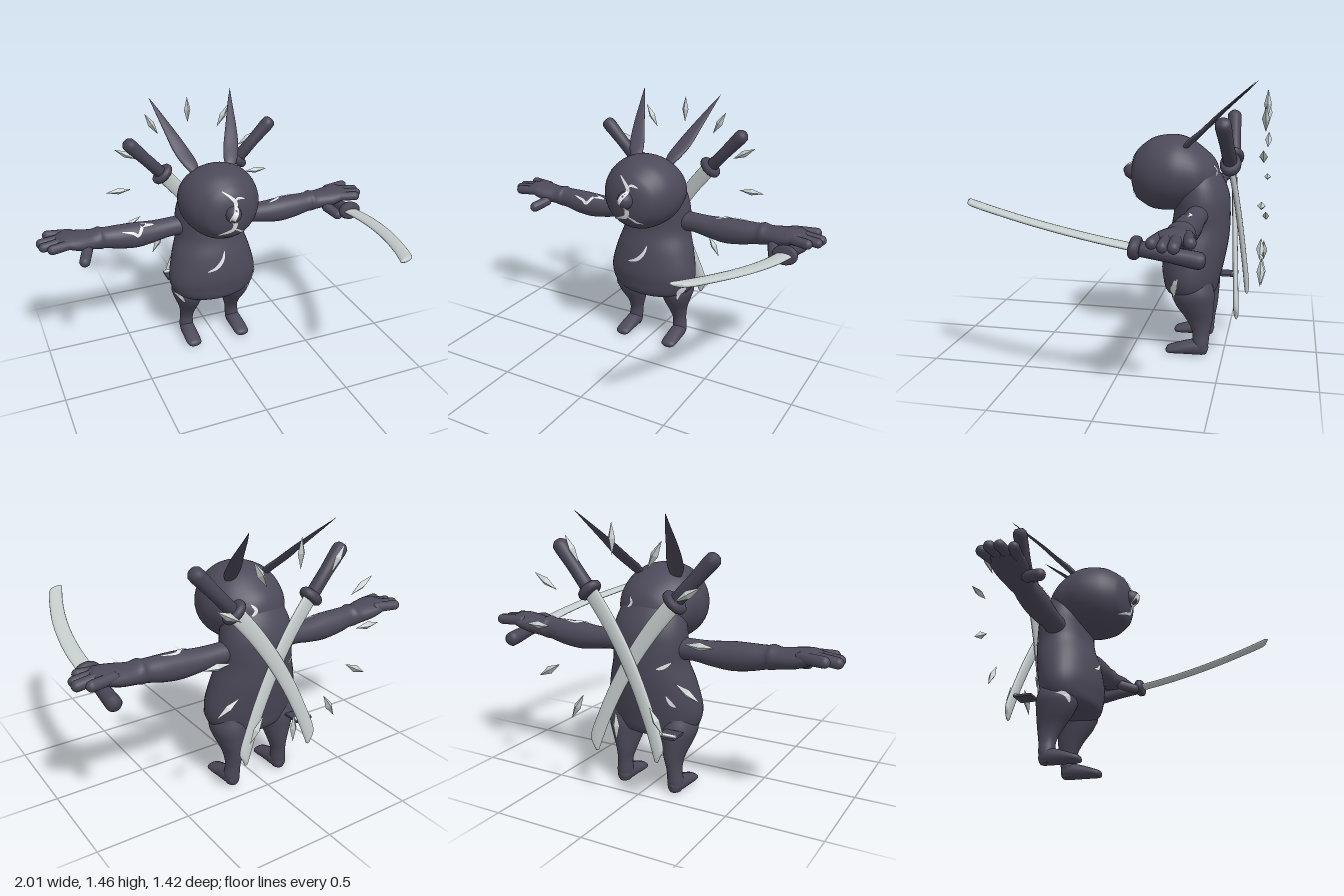
import * as THREE from 'three';

const mat = (name, color, side = THREE.FrontSide) => {
  const m = new THREE.MeshStandardMaterial({ color, side });
  m.name = name;
  return m;
};

// Smooth tube of ellipses along an axis; rows are [t, c1, c2, r1, r2]
function loft(rows, axis, seg = 32, steps = 5) {
  const vec = (a, b, c) => new THREE.Vector3(a, b, c);
  const centre = new THREE.CatmullRomCurve3(rows.map(r => vec(r[0], r[1], r[2])), false, 'catmullrom', 0.5);
  const radius = new THREE.CatmullRomCurve3(rows.map(r => vec(r[3], r[4], 0)), false, 'catmullrom', 0.5);
  const n = (rows.length - 1) * steps, pos = [], idx = [];
  const flip = (axis === 'y') !== (rows[rows.length - 1][0] < rows[0][0]);
  for (let i = 0; i <= n; i++) {
    const c = centre.getPoint(i / n), r = radius.getPoint(i / n);
    for (let j = 0; j < seg; j++) {
      const a = j / seg * Math.PI * 2;
      const u = c.y + Math.max(r.x, 0) * Math.cos(a), v = c.z + Math.max(r.y, 0) * Math.sin(a);
      if (axis === 'x') pos.push(c.x, u, v);
      else if (axis === 'y') pos.push(u, c.x, v);
      else pos.push(u, v, c.x);
      if (i === n) continue;
      const k = (j + 1) % seg, p = i * seg + j, q = i * seg + k, s = p + seg, t = q + seg;
      if (flip) idx.push(p, s, q, q, s, t);
      else idx.push(p, q, s, q, t, s);
    }
  }
  const g = new THREE.BufferGeometry();
  g.setAttribute('position', new THREE.Float32BufferAttribute(pos, 3));
  g.setIndex(idx);
  g.computeVertexNormals();
  return g;
}

// Mirror a geometry across x = 0, keeping faces outward
function mirrored(geo) {
  const g = geo.clone().scale(-1, 1, 1), ix = g.index.array;
  for (let i = 0; i < ix.length; i += 3) [ix[i + 1], ix[i + 2]] = [ix[i + 2], ix[i + 1]];
  g.computeVertexNormals();
  return g;
}

// Rounded finger between two points
function finger(a, b, r) {
  const A = new THREE.Vector3(...a), B = new THREE.Vector3(...b), d = B.clone().sub(A);
  const g = new THREE.CapsuleGeometry(r, d.length() - r, 6, 14);
  g.applyQuaternion(new THREE.Quaternion().setFromUnitVectors(new THREE.Vector3(0, 1, 0), d.clone().normalize()));
  const m = A.add(B).multiplyScalar(0.5);
  return g.translate(m.x, m.y, m.z);
}

export function createModel() {
  const model = new THREE.Group();
  const fur = mat('darkFur', 0x4c4959), grip = mat('darkGrip', 0x474454);
  const steel = mat('paleSteel', 0xc6cecd), glow = mat('paleCrack', 0xdfe4e6, THREE.DoubleSide);
  const skin = [];
  const add = (name, geo, material, parent = model) => {
    const m = new THREE.Mesh(geo, material);
    m.name = name;
    parent.add(m);
    return m;
  };
  const pair = (name, geo) => {
    skin.push(add(name + 'Left', geo, fur), add(name + 'Right', mirrored(geo), fur));
  };

  // Torso, head and muzzle
  skin.push(add('torso', loft([
    [0.3, 0, -0.32, 0, 0], [0.31, 0, -0.32, 0.15, 0.1], [0.34, 0, -0.31, 0.225, 0.14],
    [0.4, 0, -0.31, 0.262, 0.155], [0.48, 0, -0.315, 0.266, 0.168], [0.6, 0, -0.335, 0.238, 0.17],
    [0.7, 0, -0.355, 0.207, 0.158], [0.78, 0, -0.36, 0.205, 0.152], [0.86, 0, -0.355, 0.2, 0.15],
    [0.95, 0, -0.34, 0.175, 0.13], [1.05, 0, -0.31, 0.11, 0.085], [1.1, 0, -0.29, 0, 0]], 'y', 40), fur));
  skin.push(add('head', loft([
    [-0.46, 0, 0.93, 0, 0], [-0.43, 0, 0.95, 0.1, 0.09], [-0.36, 0, 0.96, 0.18, 0.15],
    [-0.28, 0, 0.975, 0.215, 0.187], [-0.2, 0, 0.975, 0.228, 0.205], [-0.1, 0, 0.97, 0.205, 0.195],
    [-0.03, 0, 0.965, 0.158, 0.155], [0, 0, 0.962, 0.12, 0.125], [0.02, 0, 0.965, 0.07, 0.075],
    [0.03, 0, 0.97, 0, 0]], 'z', 40), fur));
  skin.push(add('muzzle', new THREE.SphereGeometry(1, 24, 16).scale(0.045, 0.048, 0.055).translate(0, 0.975, 0.02), fur));

  // Leaf-shaped ears swept back
  pair('ear', loft([
    [1.1, 0.1, -0.26, 0.015, 0.015], [1.16, 0.122, -0.31, 0.042, 0.022], [1.22, 0.15, -0.375, 0.045, 0.016],
    [1.3, 0.182, -0.455, 0.033, 0.012], [1.4, 0.222, -0.565, 0.014, 0.007], [1.465, 0.25, -0.635, 0, 0]], 'y', 20));

  // Legs and feet
  pair('leg', loft([
    [0.42, 0.15, -0.34, 0.08, 0.09], [0.35, 0.152, -0.335, 0.098, 0.115], [0.28, 0.15, -0.345, 0.08, 0.103],
    [0.2, 0.145, -0.37, 0.053, 0.072], [0.13, 0.15, -0.382, 0.039, 0.048],
    [0.06, 0.155, -0.38, 0.042, 0.043], [0.01, 0.155, -0.38, 0.03, 0.035]], 'y', 28));
  pair('foot', loft([
    [-0.425, 0.155, 0.045, 0, 0], [-0.41, 0.155, 0.043, 0.03, 0.036], [-0.37, 0.155, 0.046, 0.043, 0.045],
    [-0.3, 0.157, 0.038, 0.045, 0.037], [-0.23, 0.158, 0.026, 0.045, 0.025], [-0.2, 0.158, 0.021, 0.035, 0.017],
    [-0.19, 0.158, 0.02, 0, 0]], 'z', 24));

  // Arms with palms, fingers and thumbs
  pair('arm', loft([
    [0.12, 0.775, -0.355, 0.06, 0.06], [0.25, 0.775, -0.35, 0.055, 0.058], [0.35, 0.768, -0.345, 0.063, 0.063],
    [0.45, 0.768, -0.34, 0.073, 0.068], [0.55, 0.775, -0.34, 0.068, 0.068], [0.63, 0.785, -0.34, 0.059, 0.062],
    [0.66, 0.79, -0.34, 0.062, 0.07], [0.7, 0.79, -0.34, 0.052, 0.075], [0.78, 0.8, -0.335, 0.05, 0.09],
    [0.85, 0.815, -0.335, 0.04, 0.088], [0.9, 0.815, -0.335, 0.022, 0.06], [0.915, 0.815, -0.335, 0, 0]], 'x', 28));
  const fingers = [
    [[0.8, 0.82, -0.39], [0.945, 0.82, -0.42], 0.028], [[0.82, 0.825, -0.35], [0.99, 0.805, -0.355], 0.028],
    [[0.82, 0.825, -0.31], [0.985, 0.805, -0.305], 0.026], [[0.8, 0.815, -0.28], [0.945, 0.81, -0.25], 0.027],
    [[0.74, 0.765, -0.28], [0.785, 0.735, -0.175], 0.03]];
  fingers.forEach(([a, b, r], i) => pair(i < 4 ? 'finger' + (i + 1) : 'thumb', finger(a, b, r)));

  // Curved swords: local y runs from the grip to the tip
  const v2 = p => p.map(([x, y]) => new THREE.Vector2(x, y));
  const gripGeo = new THREE.LatheGeometry(v2([[0, -0.315], [0.025, -0.311], [0.038, -0.295], [0.04, -0.27], [0.035, -0.15], [0.036, 0], [0, 0]]), 20);
  const guardGeo = new THREE.LatheGeometry(v2([[0, -0.024], [0.048, -0.024], [0.06, -0.014], [0.063, 0], [0.06, 0.014], [0.048, 0.024], [0, 0.024]]), 24).scale(1.1, 1, 0.85);
  const bladeRows = [0, 0.2, 0.4, 0.6, 0.8, 0.95].map(t => [0.89 * t, -0.2 * t * t, 0, 0.044 - 0.006 * t, 0.014]);
  bladeRows.push([0.875, -0.21, 0, 0.02, 0.01], [0.89, -0.222, 0, 0, 0]);
  const bladeGeo = loft(bladeRows, 'y', 16);
  function sword(name, at, X, Y) {
    const g = new THREE.Group(), y = new THREE.Vector3(...Y).normalize();
    const x = new THREE.Vector3(...X), z = x.cross(y).normalize();
    g.name = name;
    add('grip', gripGeo, grip, g);
    add('guard', guardGeo, grip, g);
    add('blade', bladeGeo, steel, g);
    g.applyMatrix4(new THREE.Matrix4().makeBasis(y.clone().cross(z), y, z).setPosition(...at));
    model.add(g);
  }
  sword('heldSword', [0.845, 0.765, -0.165], [1, 0, 0], [0, 0.155, 0.988]);
  sword('backSwordLeft', [0.25, 1.06, -0.525], [-0.74, 0.67, 0], [-0.67, -0.74, -0.09]);
  sword('backSwordRight', [-0.225, 1.04, -0.51], [0.74, 0.67, 0], [0.67, -0.74, -0.07]);

  // Ring of floating shards behind the back
  const shardGeo = new THREE.OctahedronGeometry(1).scale(0.02, 0.077, 0.02);
  for (let i = 0; i < 12; i++) {
    const a = i / 12 * Math.PI * 2;
    const s = add('shard' + (i + 1), shardGeo, steel);
    s.position.set(Math.sin(a) * 0.45, 0.895 + Math.cos(a) * 0.45, -0.69);
    s.rotation.z = -a;
  }

  // Small splinter at the lower back
  add('splinter', new THREE.BoxGeometry(0.1, 0.012, 0.1).translate(-0.19, 0.366, -0.5), grip);
  add('splinterFace', new THREE.BoxGeometry(0.1, 0.005, 0.03).translate(-0.19, 0.375, -0.53), glow);

  // Glowing cracks: tapered strips dropped onto the skin
  model.updateMatrixWorld(true);
  const ray = new THREE.Raycaster();
  const sides = {
    front: (p, q) => [[p, q, 3], [0, 0, -1]], back: (p, q) => [[p, q, -3], [0, 0, 1]],
    top: (p, q) => [[p, 3, q], [0, -1, 0]], left: (p, q) => [[3, q, p], [-1, 0, 0]],
  };
  function drop(side, p, q) {
    const [o, d] = sides[side](p, q).map(a => new THREE.Vector3(...a));
    ray.set(o, d);
    const hit = ray.intersectObjects(skin, false)[0];
    return hit ? hit.point.addScaledVector(d, -0.005) : null;
  }
  function crack(name, side, points, width) {
    const path = new THREE.SplineCurve(v2(points)), n = points.length * 5, pos = [], idx = [];
    for (let i = 0; i <= n; i++) {
      const c = path.getPoint(i / n), t = path.getTangent(i / n);
      const w = width * (0.15 + 0.85 * Math.sin(Math.PI * i / n)) / 2;
      const a = drop(side, c.x - t.y * w, c.y + t.x * w), b = drop(side, c.x + t.y * w, c.y - t.x * w);
      if (!a || !b) continue;
      const k = pos.length / 3;
      pos.push(...a.toArray(), ...b.toArray());
      if (k) idx.push(k - 2, k - 1, k, k - 1, k + 1, k);
    }
    const g = new THREE.BufferGeometry();
    g.setAttribute('position', new THREE.Float32BufferAttribute(pos, 3));
    g.setIndex(idx);
    g.computeVertexNormals();
    add(name, g, glow);
  }
  crack('faceCrack', 'front', [[-0.05, 1.1], [-0.01, 1.07], [0.015, 1.03], [-0.02, 0.96], [0.01, 0.92], [0, 0.88], [-0.05, 0.86], [-0.09, 0.84]], 0.028);
  crack('faceCrackBranch', 'front', [[0.005, 1.04], [0.03, 1.06], [0.07, 1.05]], 0.013);
  crack('chinCrack', 'front', [[0, 0.89], [0.04, 0.865], [0.06, 0.85], [0.09, 0.84]], 0.015);
  crack('bellyCrack', 'front', [[-0.085, 0.535], [-0.03, 0.555], [0.01, 0.595], [0.028, 0.645]], 0.022);
  crack('rightArmCrack', 'front', [[-0.54, 0.825], [-0.48, 0.81], [-0.45, 0.795], [-0.41, 0.835], [-0.35, 0.825]], 0.018);
  crack('leftArmCrack', 'top', [[0.38, -0.32], [0.43, -0.335], [0.47, -0.36], [0.56, -0.35]], 0.022);
  crack('leftHipCrack', 'front', [[0.2, 0.315], [0.215, 0.37], [0.24, 0.4], [0.252, 0.44]], 0.022);
  crack('rightHipCrack', 'front', [[-0.255, 0.365], [-0.225, 0.345], [-0.205, 0.31]], 0.018);
  crack('hipSideCrack', 'left', [[-0.245, 0.35], [-0.25, 0.4], [-0.265, 0.45]], 0.016);
  crack('backHeadCrack', 'back', [[0.08, 1.03], [0.06, 1.0], [0.085, 0.975]], 0.018);
  crack('backCrack', 'back', [[-0.17, 0.72], [-0.14, 0.7], [-0.11, 0.69]], 0.018);
  crack('lowerBackCrack', 'back', [[-0.15, 0.55], [-0.17, 0.51], [-0.19, 0.49]], 0.018);
  return model;
}
